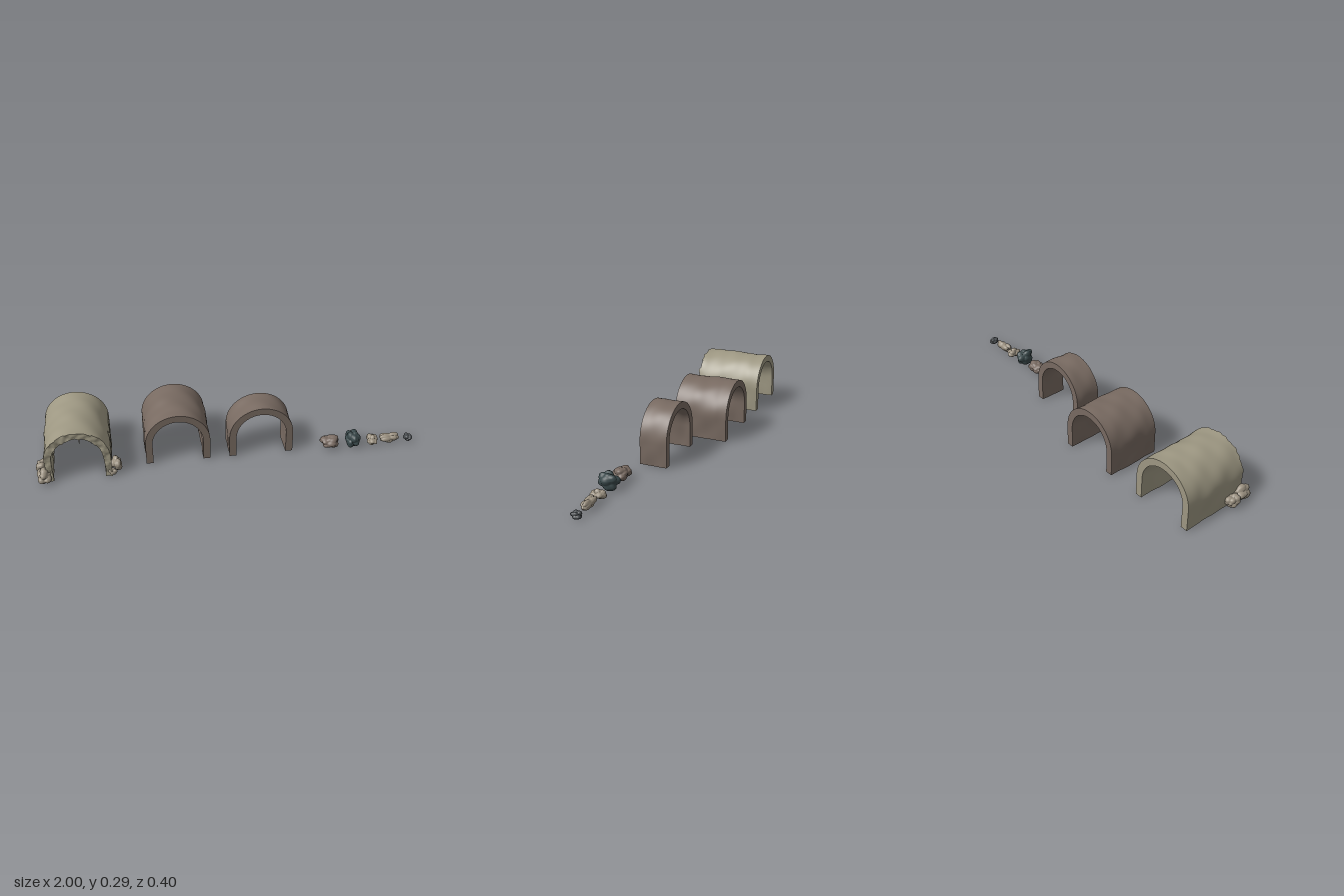
import * as THREE from 'three';
import { mergeVertices } from 'three/addons/utils/BufferGeometryUtils.js';

const mat = (name, color) => {
  const m = new THREE.MeshStandardMaterial({ color });
  m.name = name;
  return m;
};

function seeded(seed) {
  let s = seed * 7919 + 17;
  return () => (s = (s * 16807) % 2147483647) / 2147483647;
}

const SPRING = 0.12; // height of the straight walls
const RADIUS = 0.15; // middle line of the vault
const THICK = 0.037;

// Broad, soft undulation of the rock surface, about -1..1
const wave = (a, b, p) =>
  0.5 * Math.sin(a * 23 + b * 19 + p) + 0.3 * Math.sin(a * 41 - b * 33 + p * 2.3) + 0.2 * Math.sin(b * 67 + a * 15 + p);

// A straight slab bent over the tunnel path: wall, half circle, wall
function tunnel(name, material, x, zBack, zFront, phase, ragged) {
  const depth = zFront - zBack;
  const half = SPRING + (Math.PI * RADIUS) / 2;
  const geo = new THREE.BoxGeometry(half * 2, THICK, depth, 72, 4, Math.ceil(depth / 0.009));
  const pos = geo.attributes.position;
  for (let i = 0; i < pos.count; i++) {
    const s = pos.getX(i), t = pos.getY(i), d = pos.getZ(i);
    const k = d / depth + 0.5;
    const fadeFront = ragged ? 1 : Math.min(1, (1 - k) * 5);
    const fade = Math.min(1, k * 5) * fadeFront;
    const out = t + 0.004 * fade * wave(s, d, phase + (t > 0 ? 0 : 2));
    const r = RADIUS + out;
    const a = THREE.MathUtils.clamp(s / RADIUS, -Math.PI / 2, Math.PI / 2);
    const drop = Math.max(0, Math.abs(s) - (Math.PI * RADIUS) / 2);
    let z = d + (zBack + zFront) / 2;
    if (ragged && k > 0.85) {
      // broken mouth
      const chip = wave(s * 3, t * 4, phase) * 0.005 + Math.sin(s * 190 + t * 120) * 0.0025;
      z += ((k - 0.85) / 0.15) * (chip - 0.005);
    }
    pos.setXYZ(i, Math.sin(a) * r, SPRING + Math.cos(a) * r - drop, z);
  }
  geo.computeVertexNormals();
  const mesh = new THREE.Mesh(geo, material);
  mesh.name = name;
  mesh.position.x = x;
  return mesh;
}

// A lumpy boulder: sphere swollen around scattered lumps, then fitted to a size
function rock(name, material, [x, y, z], size, seed, lumps = 20) {
  const rnd = seeded(seed);
  const centres = Array.from({ length: lumps }, () => ({
    dir: new THREE.Vector3(rnd() - 0.5, rnd() - 0.5, rnd() - 0.5).normalize(),
    h: 0.8 + 0.25 * rnd(),
  }));
  let geo = new THREE.IcosahedronGeometry(1, 9);
  geo.deleteAttribute('normal');
  geo.deleteAttribute('uv');
  geo = mergeVertices(geo, 1e-4);
  const pos = geo.attributes.position;
  const v = new THREE.Vector3();
  for (let i = 0; i < pos.count; i++) {
    v.fromBufferAttribute(pos, i).normalize();
    let r = 0.55;
    for (const c of centres) r = Math.max(r, c.h - 0.55 * v.angleTo(c.dir) ** 1.6);
    r += 0.015 * Math.sin(v.y * 22 + v.x * 9 + seed);
    pos.setXYZ(i, v.x * r, v.y * r, v.z * r);
  }
  geo.center();
  geo.computeBoundingBox();
  const b = geo.boundingBox.getSize(new THREE.Vector3());
  geo.scale(size[0] / b.x, size[1] / b.y, size[2] / b.z);
  geo.computeVertexNormals();
  const mesh = new THREE.Mesh(geo, material);
  mesh.name = name;
  mesh.position.set(x, y, z);
  return mesh;
}

// A hanging spike, slightly bent and uneven
function stalactite(material, x, top, z, length, width) {
  const geo = new THREE.ConeGeometry(width, length, 8, 5);
  geo.rotateX(Math.PI);
  const pos = geo.attributes.position;
  for (let i = 0; i < pos.count; i++) {
    const y = pos.getY(i);
    const bulge = 1 + 0.15 * Math.sin((y / length) * 14);
    pos.setX(i, pos.getX(i) * bulge + 0.002 * Math.sin((y / length) * 4));
    pos.setZ(i, pos.getZ(i) * bulge);
  }
  geo.computeVertexNormals();
  const mesh = new THREE.Mesh(geo, material);
  mesh.name = 'stalactite';
  mesh.position.set(x, top - length / 2, z);
  return mesh;
}

export function createModel() {
  const model = new THREE.Group();
  model.name = 'caveTunnelKit';

  const paleStone = mat('paleStone', 0x9d9782);
  const brownStone = mat('brownStone', 0x786a61);
  const beigeRock = mat('beigeRock', 0x9a9080);
  const darkRock = mat('darkRock', 0x3a494b);
  const greyRock = mat('greyRock', 0x43474a);

  // Cave entrance with broken mouth, spikes and boulders
  const entrance = new THREE.Group();
  entrance.name = 'caveEntrance';
  entrance.add(tunnel('entranceVault', paleStone, -0.78, -0.203, 0.165, 1.3, true));
  const spikes = [
    [-0.857, 0.235, 0.12, 0.045, 0.007],
    [-0.835, 0.243, 0.03, 0.025, 0.005],
    [-0.763, 0.256, 0.1, 0.08, 0.01],
    [-0.735, 0.25, -0.03, 0.03, 0.006],
    [-0.7, 0.237, 0.12, 0.052, 0.007],
  ];
  for (const s of spikes) entrance.add(stalactite(paleStone, ...s));
  const boulders = [
    [[-0.952, 0.043, 0.152], [0.08, 0.078, 0.095], 3],
    [[-0.97, 0.036, 0.075], [0.06, 0.068, 0.072], 5],
    [[-0.94, 0.018, 0.115], [0.05, 0.036, 0.05], 7],
    [[-0.592, 0.04, 0.112], [0.062, 0.07, 0.085], 9],
    [[-0.612, 0.02, 0.148], [0.05, 0.04, 0.035], 11],
  ];
  for (const [p, s, seed] of boulders) entrance.add(rock('entranceBoulder', beigeRock, p, s, seed));
  model.add(entrance);

  // Plain long and short tunnel sections
  model.add(tunnel('longTunnel', brownStone, -0.266, -0.203, 0.09, 4.1, false));
  model.add(tunnel('shortTunnel', brownStone, 0.172, -0.055, 0.09, 6.7, false));

  // Row of loose rocks
  const loose = [
    [brownStone, [0.544, 0.036, 0.09], [0.104, 0.066, 0.084], 13],
    [darkRock, [0.668, 0.047, 0.09], [0.08, 0.09, 0.106], 15],
    [beigeRock, [0.778, 0.028, 0.09], [0.06, 0.052, 0.08], 17],
    [beigeRock, [0.872, 0.026, 0.09], [0.112, 0.05, 0.054], 19],
    [greyRock, [0.976, 0.019, 0.09], [0.048, 0.034, 0.054], 21],
  ];
  for (const [m, p, s, seed] of loose) model.add(rock('looseRock', m, p, s, seed));
  return model;
}
